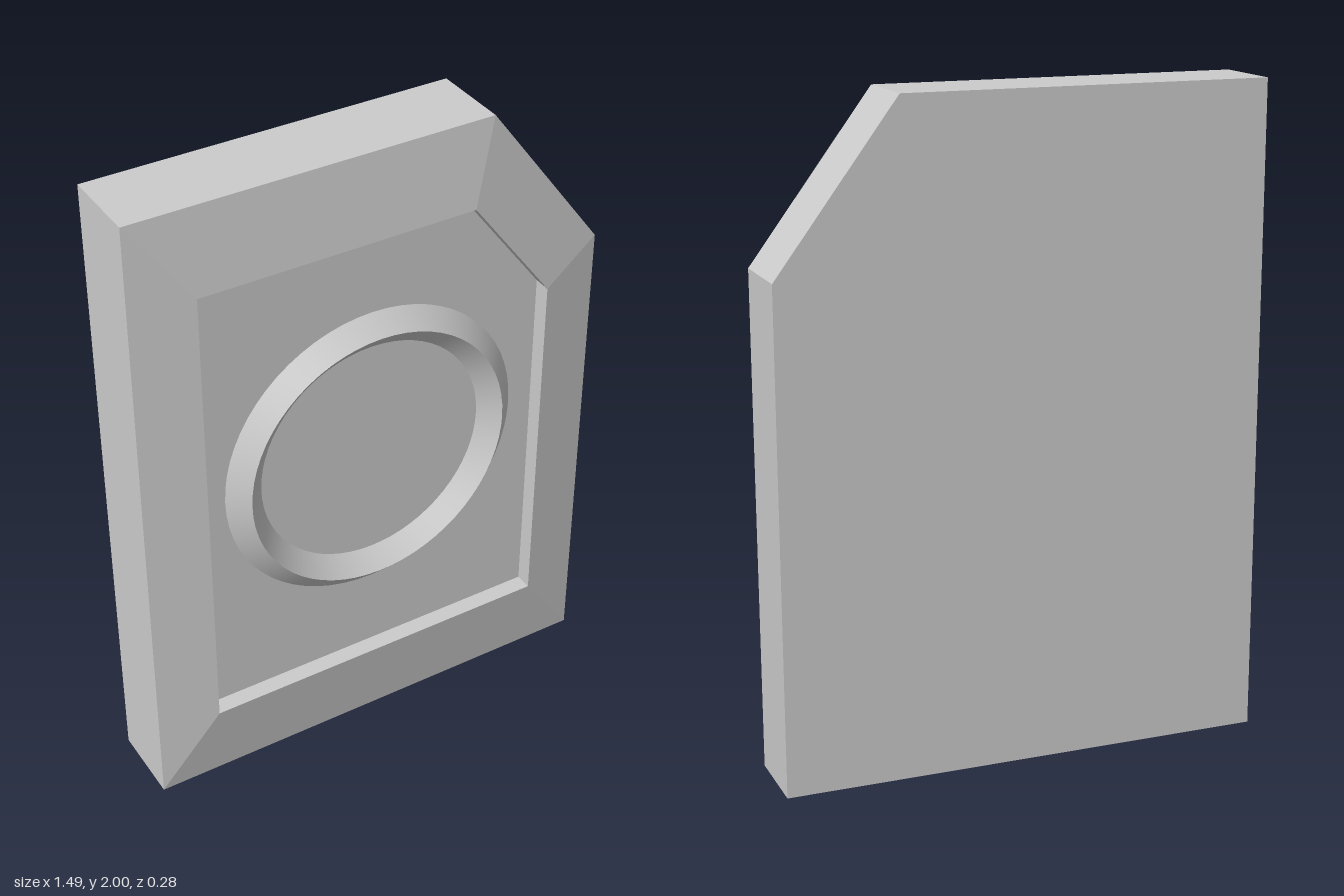
import * as THREE from 'three';
import { toCreasedNormals } from 'three/addons/utils/BufferGeometryUtils.js';

// Outlines run counter-clockwise as seen from the front
const OUTER = [[-0.745, 0], [0.745, 0], [0.745, 1.505], [0.375, 2], [-0.745, 2]];
const INNER = [[-0.56, 0.26], [0.56, 0.26], [0.56, 1.4], [0.3, 1.745], [-0.56, 1.745]];
const BACK = -0.14, EDGE = 0.105, LIP = 0.14, FLOOR = 0.086;

// Flat-sided band joining two outlines at different depths
function band(a, za, b, zb) {
  const pos = [];
  a.forEach((p, i) => {
    const j = (i + 1) % a.length;
    const A = [...p, za], B = [...a[j], za], C = [...b[j], zb], D = [...b[i], zb];
    pos.push(...A, ...B, ...C, ...A, ...C, ...D);
  });
  const g = new THREE.BufferGeometry();
  g.setAttribute('position', new THREE.Float32BufferAttribute(pos, 3));
  g.computeVertexNormals();
  return g;
}

// Flat plate filling an outline
function plate(outline, z) {
  const shape = new THREE.Shape(outline.map(([x, y]) => new THREE.Vector2(x, y)));
  return new THREE.ShapeGeometry(shape).translate(0, 0, z);
}

export function createModel() {
  const group = new THREE.Group();
  group.name = 'panel';
  const grey = new THREE.MeshStandardMaterial({ color: 0xcccccc });
  grey.name = 'light grey';
  const add = (name, geometry) => {
    const mesh = new THREE.Mesh(geometry, grey);
    mesh.name = name;
    group.add(mesh);
    return mesh;
  };

  // Slab with a clipped corner, sloping frame and sunken panel
  add('sideWalls', band(OUTER, BACK, OUTER, EDGE));
  add('slopedFrame', band(OUTER, EDGE, INNER, LIP));
  add('recessWalls', band(INNER, LIP, INNER, FLOOR));
  add('recessFloor', plate(INNER, FLOOR));

  // Back face, mirrored in x and turned to face -z
  const mirrored = OUTER.map(([x, y]) => [-x, y]).reverse();
  add('backFace', plate(mirrored, 0).rotateY(Math.PI).translate(0, 0, BACK));

  // Raised ring with a sharp crest
  const profile = [[0.481, 0], [0.423, LIP - FLOOR], [0.365, 0]].map(([r, h]) => new THREE.Vector2(r, h));
  const ring = toCreasedNormals(new THREE.LatheGeometry(profile, 64), 0.5);
  add('raisedRing', ring.rotateX(Math.PI / 2).translate(0, 1, FLOOR));

  return group;
}
